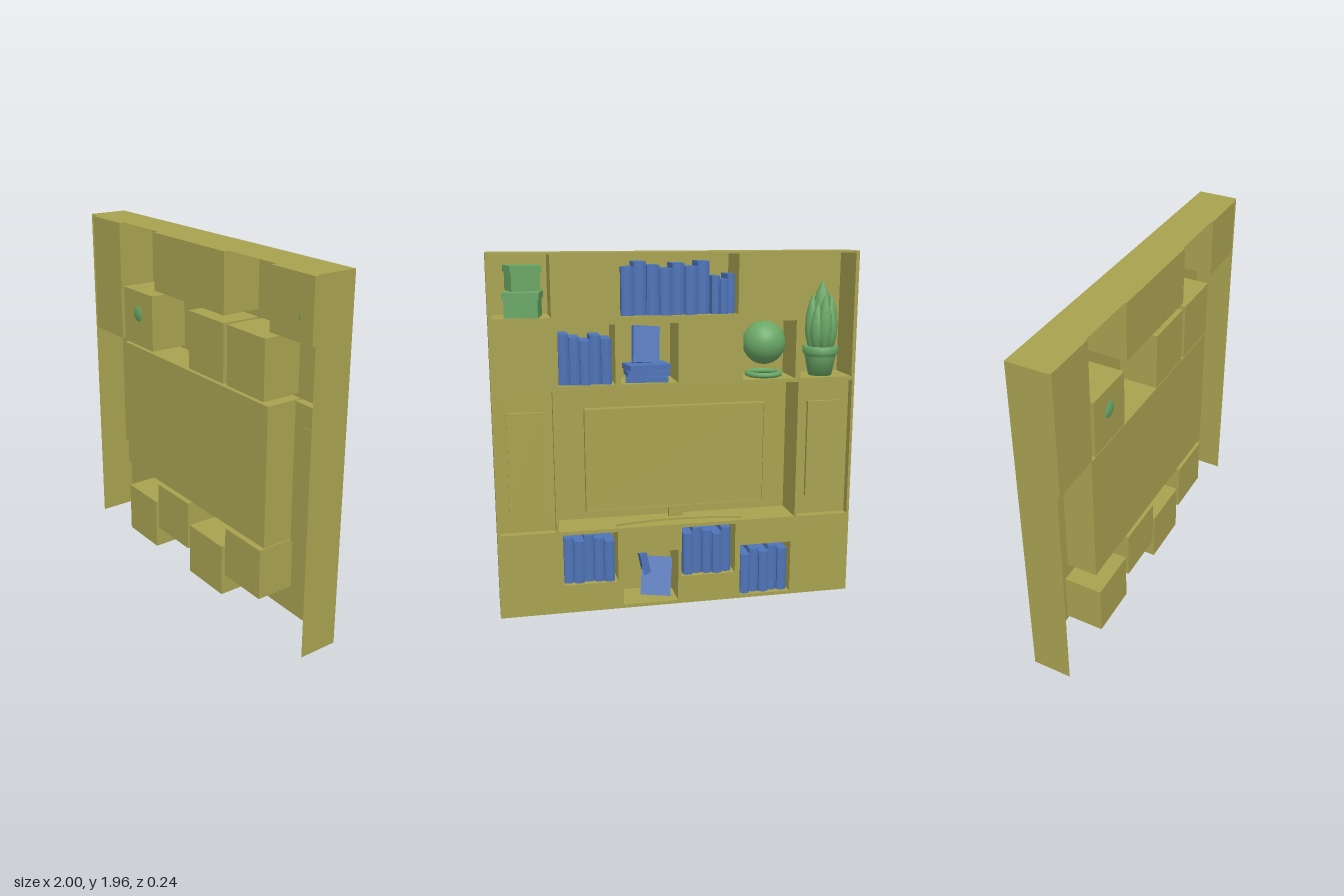
import * as THREE from 'three';

const D = 0.11; // half depth of the unit
const H = 1.96;
const wood = new THREE.MeshStandardMaterial({ color: 0xa8a250, side: THREE.DoubleSide });
const blue = new THREE.MeshStandardMaterial({ color: 0x4f74b8 });
const green = new THREE.MeshStandardMaterial({ color: 0x6aa866 });

// Compartments open to -z: [name, x0, x1, y0, y1, back z]
const NICHES = [
  ['tallCubby', -0.98, -0.68, 1.27, 1.95, D],
  ['sphereCubby', -0.65, -0.35, 1.27, 1.59, D],
  ['topCubby', -0.32, 0.32, 1.63, 1.95, D],
  ['boxCubby', 0.68, 0.98, 1.63, 1.95, D],
  ['stackCubby', 0.01, 0.32, 1.27, 1.59, D],
  ['upperBookCubby', 0.35, 0.65, 1.27, 1.59, D],
  ['lowerCubby1', -0.65, -0.35, 0.02, 0.32, D],
  ['lowerCubby2', -0.32, -0.01, 0.16, 0.45, D],
  ['lowerCubby3', 0.01, 0.32, 0.02, 0.32, D],
  ['lowerCubby4', 0.35, 0.65, 0.16, 0.45, D],
  ['screenNiche', -0.67, 0.67, 0.47, 1.25, 0.1],
  ['rightSpeakerNiche', -0.985, -0.685, 0.47, 1.25, -0.065],
  ['leftSpeakerNiche', 0.685, 0.985, 0.47, 1.25, -0.065],
];

function add(parent, name, geometry, material, x = 0, y = 0, z = 0) {
  const mesh = new THREE.Mesh(geometry, material);
  mesh.name = name;
  mesh.position.set(x, y, z);
  parent.add(mesh);
  return mesh;
}

// Thin box keeping only the first faces (order: +x -x +y -y +z -z)
function openBox(w, h, d, faces) {
  const g = new THREE.BoxGeometry(w, h, d);
  g.setIndex(Array.from(g.index.array).slice(0, faces * 6));
  g.clearGroups();
  return g;
}

// Upright book with a rounded spine towards -z
function bookGeometry(w, h, d) {
  const s = new THREE.Shape();
  s.moveTo(-w / 2, -d / 2);
  s.lineTo(w / 2, -d / 2);
  s.lineTo(w / 2, d / 2);
  s.quadraticCurveTo(0, d / 2 + w * 0.4, -w / 2, d / 2);
  s.closePath();
  const g = new THREE.ExtrudeGeometry(s, { depth: h, bevelEnabled: false, curveSegments: 5 });
  return g.rotateX(-Math.PI / 2);
}

// Row of books from x0 to x1 with gently varying size
function bookRow(parent, x0, x1, y, height, count, seed) {
  const row = new THREE.Group();
  row.name = 'bookRow';
  const w = (x1 - x0) / count;
  for (let i = 0; i < count; i++) {
    const k = ((i + seed) * 3) % 5;
    const d = 0.13 + 0.006 * k;
    add(row, 'book', bookGeometry(w * 0.97, height - 0.009 * k, d), blue, x0 + w * (i + 0.5), y, 0.065 - d / 2);
  }
  parent.add(row);
}

function plant() {
  const g = new THREE.Group();
  g.name = 'pottedPlant';
  const pot = [[0, 0], [0.065, 0], [0.085, 0.1], [0.09, 0.12], [0.1, 0.125], [0.1, 0.16], [0.085, 0.165], [0, 0.15]];
  add(g, 'pot', new THREE.LatheGeometry(pot.map(p => new THREE.Vector2(...p)), 20), green);
  const leaf = [[0, 0], [0.03, 0.03], [0.05, 0.11], [0.045, 0.19], [0.025, 0.26], [0, 0.31]];
  const leafGeo = new THREE.LatheGeometry(leaf.map(p => new THREE.Vector2(...p)), 10);
  add(g, 'centreLeaf', leafGeo, green, 0, 0.15, 0).scale.set(1.2, 1.22, 1.2);
  for (let i = 0; i < 8; i++) {
    const a = (i / 8) * Math.PI * 2;
    const m = add(g, 'leaf', leafGeo, green, Math.sin(a) * 0.055, 0.14, Math.cos(a) * 0.055);
    m.rotation.y = a;
    m.scale.set(0.8, i % 2 ? 0.85 : 1.02, 0.8);
  }
  return g;
}

function screen() {
  const g = new THREE.Group();
  g.name = 'screen';
  add(g, 'panel', new THREE.BoxGeometry(1.02, 0.58, 0.035), wood, 0, 0.835, 0);
  // Raised rim round the display
  const rim = new THREE.Shape([[-0.51, -0.29], [0.51, -0.29], [0.51, 0.29], [-0.51, 0.29]].map(p => new THREE.Vector2(...p)));
  rim.holes.push(new THREE.Path([[-0.5, -0.28], [-0.5, 0.28], [0.5, 0.28], [0.5, -0.28]].map(p => new THREE.Vector2(...p))));
  add(g, 'rim', new THREE.ExtrudeGeometry(rim, { depth: 0.008, bevelEnabled: false }), wood, 0, 0.835, -0.0255);
  add(g, 'neck', new THREE.BoxGeometry(0.08, 0.09, 0.025), wood, 0, 0.52, 0.01);
  // Curved foot, swept forwards at both ends
  const s = new THREE.Shape();
  s.moveTo(-0.36, 0.085);
  s.quadraticCurveTo(0, -0.085, 0.36, 0.085);
  s.quadraticCurveTo(0, -0.01, -0.36, 0.085);
  const foot = new THREE.ExtrudeGeometry(s, { depth: 0.012, bevelEnabled: false, curveSegments: 16 });
  add(g, 'foot', foot.rotateX(-Math.PI / 2), wood, 0, 0.473, 0);
  return g;
}

export function createModel() {
  const model = new THREE.Group();
  model.name = 'wallUnit';

  // Outer sides and top, open at the bottom and at +z
  add(model, 'shell', openBox(2, H, 2 * D, 3), wood, 0, H / 2, 0);

  // Face plate with openings, and the compartments behind it
  const face = new THREE.Shape([[-1, 0], [1, 0], [1, H], [-1, H]].map(p => new THREE.Vector2(...p)));
  for (const [name, x0, x1, y0, y1, z] of NICHES) {
    face.holes.push(new THREE.Path([[x0, y0], [x0, y1], [x1, y1], [x1, y0]].map(p => new THREE.Vector2(...p))));
    const d = z + D;
    add(model, name, openBox(x1 - x0, y1 - y0, d, 5), wood, (x0 + x1) / 2, (y0 + y1) / 2, z - d / 2);
  }
  add(model, 'facePlate', new THREE.ShapeGeometry(face), wood, 0, 0, -D);

  // Speakers and screen
  for (const s of [-1, 1]) {
    add(model, s > 0 ? 'leftSpeaker' : 'rightSpeaker', new THREE.BoxGeometry(0.19, 0.55, 0.026), wood, s * 0.833, 0.857, -0.075);
  }
  model.add(screen());

  // Rows of books
  bookRow(model, -0.17, 0.31, 1.63, 0.28, 7, 0);
  bookRow(model, -0.31, -0.18, 1.63, 0.22, 3, 2);
  bookRow(model, 0.365, 0.645, 1.27, 0.27, 5, 1);
  bookRow(model, 0.365, 0.645, 0.16, 0.27, 5, 3);
  bookRow(model, -0.305, -0.025, 0.16, 0.27, 5, 2);
  bookRow(model, -0.64, -0.36, 0.02, 0.27, 5, 4);

  // Flat stack with one book leaning on top
  for (let i = 0; i < 3; i++) {
    add(model, 'flatBook', new THREE.BoxGeometry(0.23, 0.03, 0.15), blue, 0.165, 1.286 + i * 0.032, -0.01).rotation.y = (i - 1) * 0.15;
  }
  const top = add(model, 'leaningBook', new THREE.BoxGeometry(0.15, 0.2, 0.03), blue, 0.165, 1.465, 0.01);
  top.rotation.set(0.25, 0.15, 0.06);

  // Two books leaning against the compartment wall
  add(model, 'leaningBook', new THREE.BoxGeometry(0.17, 0.22, 0.03), blue, 0.12, 0.145, -0.03).rotation.set(0.35, -0.2, 0.12);
  add(model, 'leaningBook', new THREE.BoxGeometry(0.04, 0.25, 0.12), blue, 0.17, 0.16, 0.03).rotation.z = -0.2;

  // Sphere above a ring
  add(model, 'sphere', new THREE.SphereGeometry(0.12, 24, 16), green, -0.5, 1.46, 0);
  add(model, 'ring', new THREE.TorusGeometry(0.09, 0.015, 8, 28), green, -0.5, 1.287, 0).rotation.x = Math.PI / 2;

  // Two lidded boxes, turned slightly
  [[1.63, 0.19, -0.19], [1.765, 0.165, 0.2]].forEach(([y, w, turn]) => {
    const box = new THREE.Group();
    box.name = 'storageBox';
    add(box, 'body', new THREE.BoxGeometry(w * 0.92, 0.095, w * 0.92), green, 0, 0.0475, 0);
    add(box, 'lid', new THREE.BoxGeometry(w, 0.035, w), green, 0, 0.1125, 0);
    box.position.set(0.815, y, 0);
    box.rotation.y = turn;
    model.add(box);
  });

  const pot = plant();
  pot.position.set(-0.83, 1.27, -0.01);
  model.add(pot);
  return model;
}
